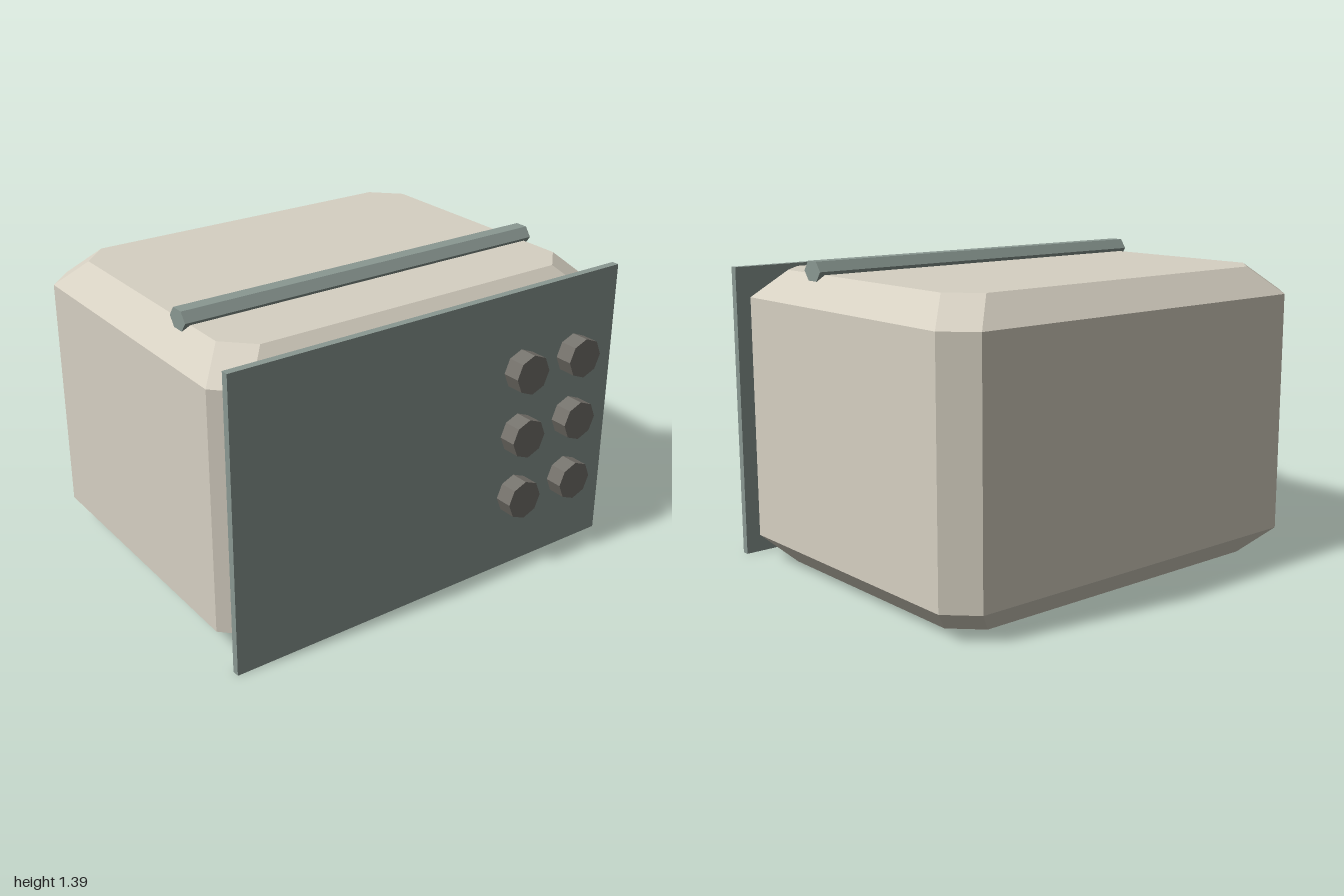
import * as THREE from 'three';
import { ConvexGeometry } from 'three/addons/geometries/ConvexGeometry.js';

const material = (color) => new THREE.MeshStandardMaterial({ color, flatShading: true });

function addMesh(parent, name, geometry, mat) {
  const mesh = new THREE.Mesh(geometry, mat);
  mesh.name = name;
  parent.add(mesh);
  return mesh;
}

// Box whose edges and corners are all cut back by c
function chamferedBox(w, h, d, c) {
  const points = [];
  for (const sy of [-1, 1]) for (const inset of [0, c]) {
    const y = sy * (h / 2 - c + inset);
    const x = w / 2 - inset, z = d / 2 - inset;
    for (const sx of [-1, 1]) for (const sz of [-1, 1]) {
      points.push(new THREE.Vector3(sx * x, y, sz * (z - c)));
      points.push(new THREE.Vector3(sx * (x - c), y, sz * z));
    }
  }
  return new ConvexGeometry(points);
}

export function createModel() {
  const model = new THREE.Group();
  model.name = 'panelledCase';
  const shell = material(0xd6d0c2);
  const metal = material(0x8a9892);
  const dark = material(0x75726c);
  const height = 1.335;

  // Main housing
  addMesh(model, 'housing', chamferedBox(2, height, 1.58, 0.122), shell)
    .position.set(0, height / 2, -0.06);

  // Flat front plate
  addMesh(model, 'frontPanel', new THREE.BoxGeometry(2, height, 0.034), metal)
    .position.set(0, height / 2, 0.75);

  // Hexagonal rod across the top, slightly flattened
  const rod = new THREE.CylinderGeometry(0.061, 0.061, 1.814, 6);
  rod.rotateZ(Math.PI / 2).scale(1, 0.8, 1);
  addMesh(model, 'topRod', rod, metal).position.set(0, 1.35, 0.243);

  // Two columns of three octagonal knobs
  const knob = new THREE.CylinderGeometry(0.091, 0.091, 0.083, 8).rotateX(Math.PI / 2);
  const knobs = new THREE.Group();
  knobs.name = 'knobs';
  for (const x of [0.452, 0.756]) for (const y of [0.367, 0.671, 0.975]) {
    addMesh(knobs, 'knob', knob, dark).position.set(x, y, 0.8075);
  }
  model.add(knobs);

  return model;
}
